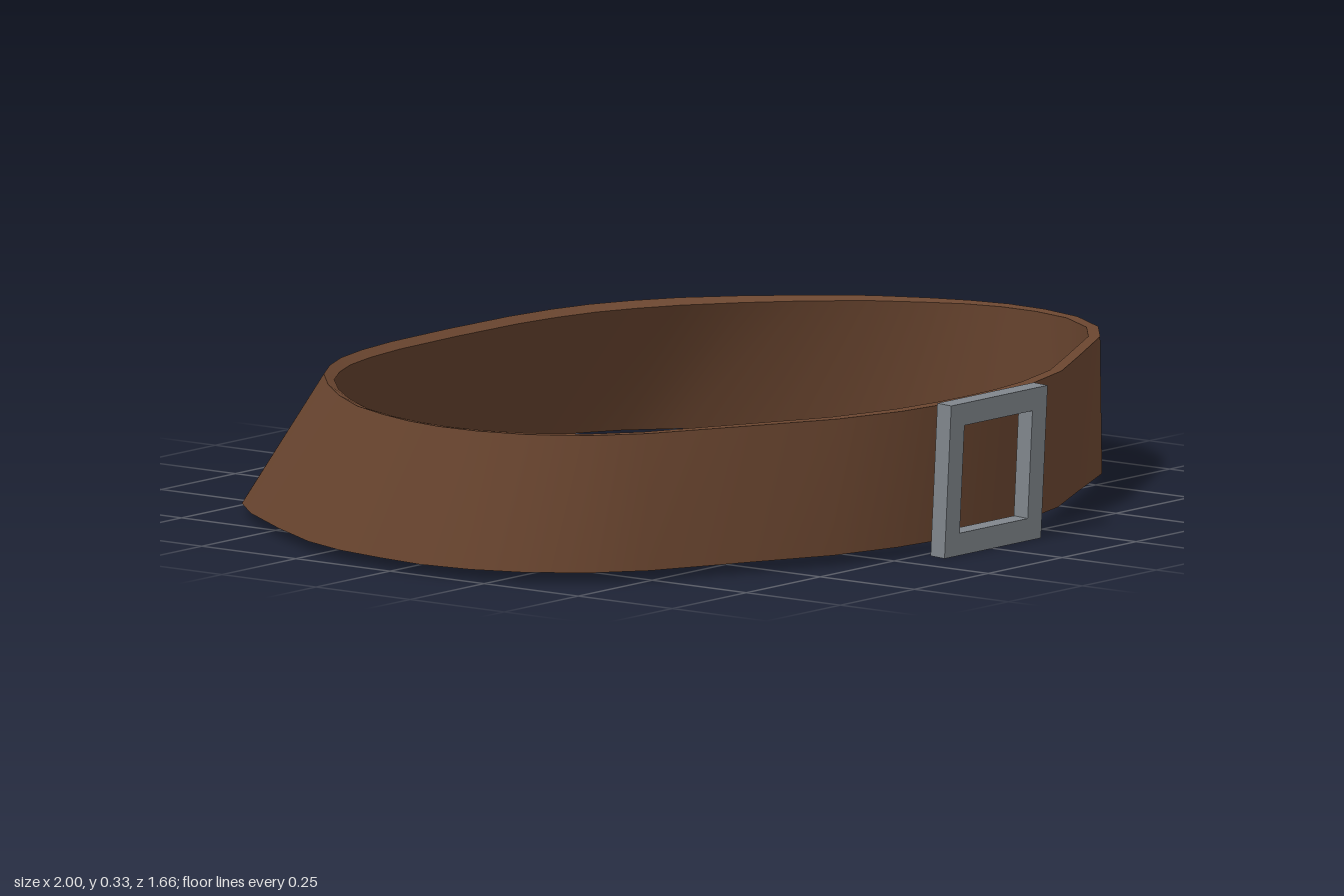
import * as THREE from 'three';
import { toCreasedNormals } from 'three/addons/utils/BufferGeometryUtils.js';

const THICKNESS = 0.025, TOP_Y = 0.315, BOTTOM_Y = 0.025;

// Half outline from back centre to front centre: top x, top z, bottom x, bottom z
const HALF = [
  [0, -0.63, 0, -0.83], [0.2, -0.625, 0.18, -0.825], [0.32, -0.61, 0.32, -0.815],
  [0.42, -0.585, 0.44, -0.785], [0.51, -0.545, 0.54, -0.74], [0.6, -0.49, 0.635, -0.68],
  [0.7, -0.4, 0.72, -0.59], [0.79, -0.3, 0.83, -0.43], [0.87, -0.19, 0.92, -0.28],
  [0.92, -0.08, 0.965, -0.16], [0.95, 0.01, 0.988, -0.03], [0.965, 0.1, 1, 0.08],
  [0.96, 0.2, 0.985, 0.2], [0.93, 0.31, 0.945, 0.31], [0.86, 0.42, 0.87, 0.42],
  [0.765, 0.5, 0.765, 0.505], [0.55, 0.613, 0.55, 0.607], [0.38, 0.7, 0.38, 0.69],
  [0.22, 0.747, 0.22, 0.733], [0.1, 0.762, 0.1, 0.748], [0, 0.765, 0, 0.75],
];

// Strap: a closed band of constant thickness between the two outlines
function strapGeometry() {
  const mirrored = HALF.slice(1, -1).reverse().map(([a, b, c, d]) => [-a, b, -c, d]);
  const stations = [...HALF, ...mirrored].map(([tx, tz, bx, bz]) => ({
    top: new THREE.Vector3(tx, TOP_Y, tz),
    bottom: new THREE.Vector3(bx, BOTTOM_Y, bz),
  }));
  const n = stations.length, positions = [], index = [];
  const middle = (s) => s.top.clone().add(s.bottom).multiplyScalar(0.5);

  stations.forEach((s, i) => {
    const along = middle(stations[(i + 1) % n]).sub(middle(stations[(i + n - 1) % n]));
    const inward = along.cross(s.top.clone().sub(s.bottom)).setLength(THICKNESS);
    const ring = [s.bottom, s.top, s.top.clone().add(inward), s.bottom.clone().add(inward)];
    ring.forEach((p) => positions.push(p.x, p.y, p.z));
    for (let k = 0; k < 4; k++) {
      const j = (i + 1) % n, m = (k + 1) % 4;
      const a = i * 4 + k, b = i * 4 + m, c = j * 4 + k, d = j * 4 + m;
      index.push(a, b, c, c, b, d);
    }
  });

  const geometry = new THREE.BufferGeometry();
  geometry.setAttribute('position', new THREE.Float32BufferAttribute(positions, 3));
  geometry.setIndex(index);
  return toCreasedNormals(geometry, 0.7);
}

// Buckle: a square frame with a square opening
function buckleGeometry(outer, inner, depth) {
  const square = (Type, h) => new Type([
    new THREE.Vector2(-h, -h), new THREE.Vector2(h, -h),
    new THREE.Vector2(h, h), new THREE.Vector2(-h, h),
  ]);
  const shape = square(THREE.Shape, outer);
  shape.holes.push(square(THREE.Path, inner));
  const geometry = new THREE.ExtrudeGeometry(shape, { depth, bevelEnabled: false });
  return geometry.translate(0, 0, -depth / 2);
}

export function createModel() {
  const leather = new THREE.MeshStandardMaterial({ color: 0x6b4630 });
  leather.name = 'brown leather';
  const metal = new THREE.MeshStandardMaterial({ color: 0x80868c });
  metal.name = 'grey metal';

  const model = new THREE.Group();
  model.name = 'belt';

  const strap = new THREE.Mesh(strapGeometry(), leather);
  strap.name = 'strap';

  const buckle = new THREE.Mesh(buckleGeometry(0.163, 0.115, 0.037), metal);
  buckle.name = 'buckle';
  buckle.position.set(0, 0.166, 0.806);
  buckle.rotation.x = 0.055;

  model.add(strap, buckle);
  return model;
}
